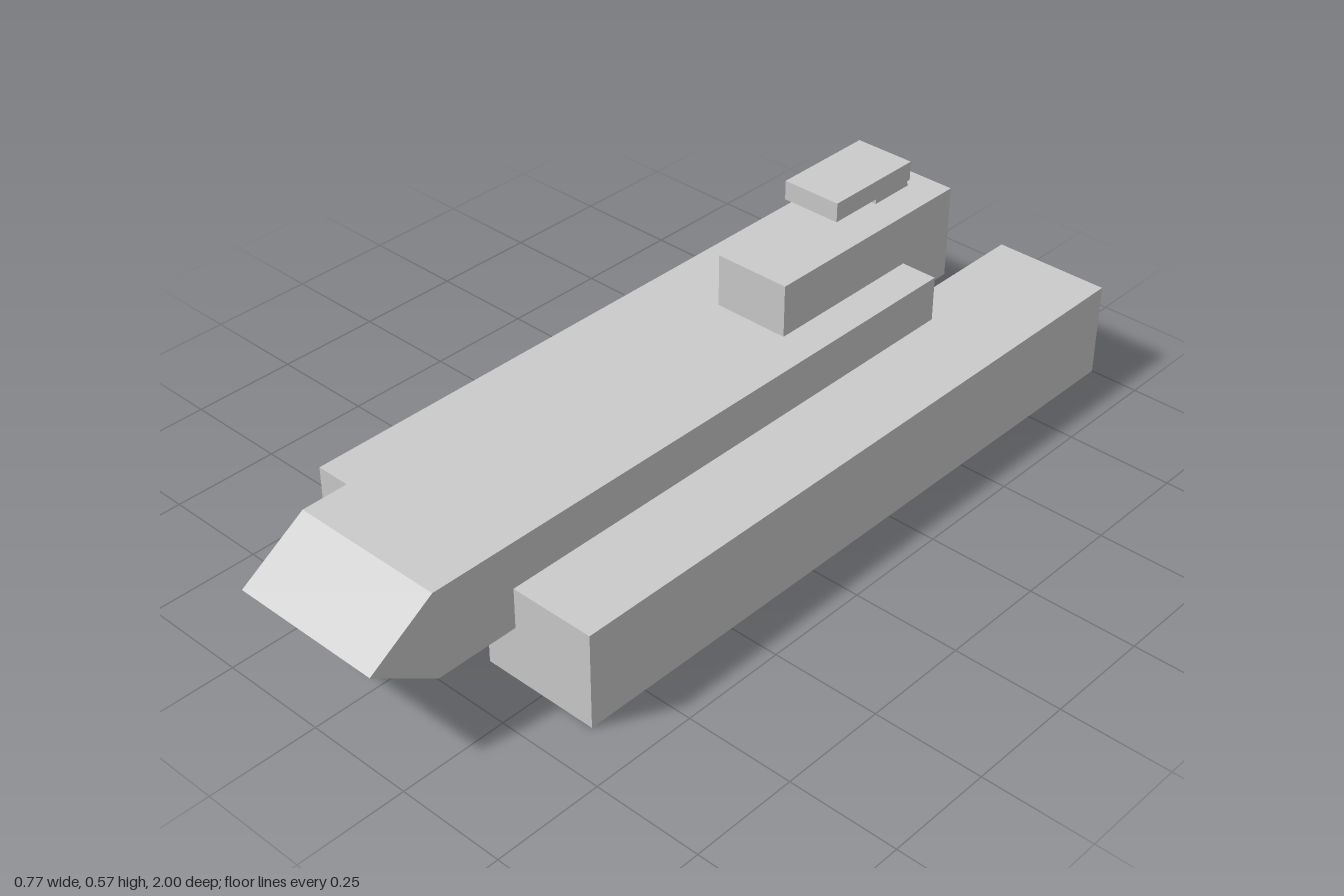
import * as THREE from 'three';

const material = new THREE.MeshStandardMaterial({ color: 0xcccccc, flatShading: true });

function addMesh(group, name, geometry) {
  const mesh = new THREE.Mesh(geometry, material);
  mesh.name = name;
  group.add(mesh);
  return mesh;
}

// Box given by its limits on each axis
function addBox(group, name, [x0, x1], [y0, y1], [z0, z1]) {
  const mesh = addMesh(group, name, new THREE.BoxGeometry(x1 - x0, y1 - y0, z1 - z0));
  mesh.position.set((x0 + x1) / 2, (y0 + y1) / 2, (z0 + z1) / 2);
  return mesh;
}

// Side profile of [z, y] points, extruded across x about the centre line
function addProfile(group, name, points, width) {
  const shape = new THREE.Shape(points.map(([z, y]) => new THREE.Vector2(z, y)));
  const geometry = new THREE.ExtrudeGeometry(shape, { depth: width, bevelEnabled: false });
  geometry.translate(0, 0, -width / 2);
  geometry.rotateY(-Math.PI / 2);
  return addMesh(group, name, geometry);
}

export function createModel() {
  const model = new THREE.Group();
  model.name = 'vessel';

  // Twin side pontoons
  for (const [side, name] of [[1, 'leftPontoon'], [-1, 'rightPontoon']]) {
    const pontoon = addBox(model, name, [0.103, 0.383], [0, 0.226], [-1, 0.645]);
    pontoon.position.x *= side;
  }

  // Central hull with wedge nose
  addProfile(model, 'hull', [
    [-0.634, 0.13], [0.842, 0.13], [1, 0.233], [0.842, 0.334], [-0.634, 0.334],
  ], 0.364);

  // Cabin overhanging the stern of the hull
  addBox(model, 'cabin', [-0.09, 0.094], [0.235, 0.458], [-0.793, -0.23]);

  // Mast with a sloping back
  addProfile(model, 'mast', [
    [-0.742, 0.45], [-0.625, 0.45], [-0.625, 0.54], [-0.705, 0.54],
  ], 0.032);

  // Flat plate carried forward of the mast
  addBox(model, 'topPlate', [-0.065, 0.078], [0.528, 0.573], [-0.66, -0.412]);

  return model;
}
